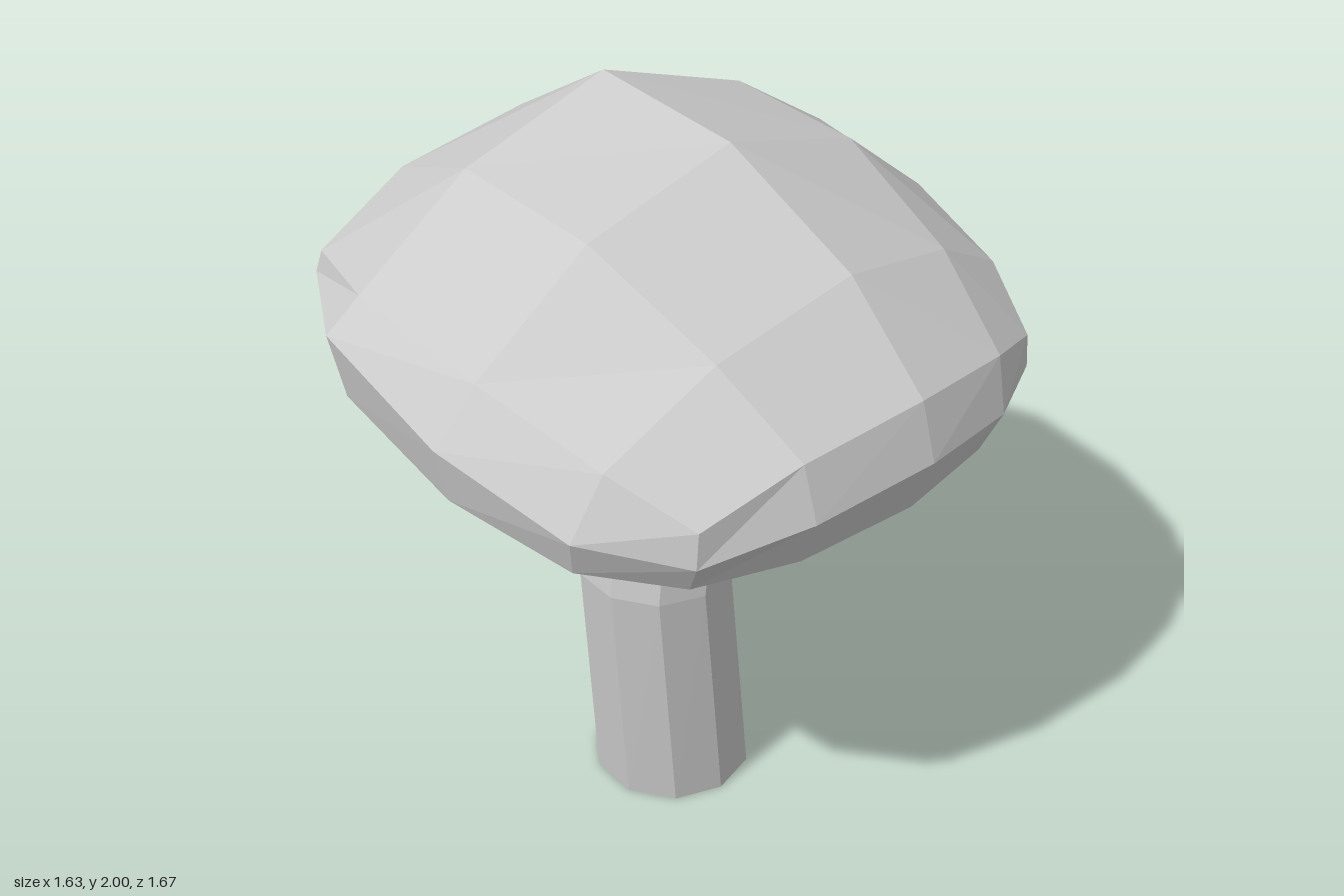
import * as THREE from 'three';

// Top of the cap: rows from back to front, points from -x to +x
const DOME = [
  [[-0.60, 1.56, -0.70], [-0.32, 1.70, -0.73], [0.06, 1.77, -0.72], [0.45, 1.72, -0.64], [0.69, 1.64, -0.54]],
  [[-0.70, 1.62, -0.35], [-0.37, 1.86, -0.35], [0.06, 2.00, -0.35], [0.47, 1.87, -0.30], [0.74, 1.69, -0.27]],
  [[-0.71, 1.62, 0.16], [-0.37, 1.86, 0.145], [0.07, 1.98, 0.135], [0.48, 1.86, 0.12], [0.75, 1.64, 0.11]],
  [[-0.64, 1.55, 0.55], [-0.30, 1.69, 0.53], [0.12, 1.77, 0.52], [0.47, 1.70, 0.48], [0.71, 1.56, 0.43]],
  [[-0.53, 1.45, 0.75], [-0.25, 1.53, 0.78], [0.12, 1.55, 0.78], [0.44, 1.52, 0.72], [0.64, 1.46, 0.63]],
];

// Widest edge, counter-clockwise from the front -x corner: x, y, z, height of the lower lip
const RIM = [
  [-0.54, 1.355, 0.755, 1.26], [-0.25, 1.39, 0.83, 1.25], [0.12, 1.40, 0.83, 1.245], [0.43, 1.375, 0.76, 1.25],
  [0.65, 1.365, 0.63, 1.275], [0.76, 1.42, 0.40, 1.30], [0.815, 1.50, 0.08, 1.34], [0.80, 1.555, -0.28, 1.41],
  [0.69, 1.535, -0.57, 1.41], [0.44, 1.57, -0.74, 1.385], [0.07, 1.575, -0.83, 1.36], [-0.31, 1.55, -0.84, 1.355],
  [-0.615, 1.50, -0.71, 1.35], [-0.79, 1.53, -0.37, 1.345], [-0.82, 1.47, 0.14, 1.31], [-0.73, 1.39, 0.54, 1.275],
];

function capGeometry() {
  const positions = DOME.flat(2);
  const index = [];
  const quad = (a, b, c, d) => index.push(a, b, c, a, c, d);
  const at = (row, col) => row * 5 + col;

  for (let r = 0; r < 4; r++) {
    for (let c = 0; c < 4; c++) quad(at(r, c), at(r + 1, c), at(r + 1, c + 1), at(r, c + 1));
  }

  // Border of the dome, in the same order as the rim
  const border = [];
  for (let i = 0; i < 4; i++) border.push(at(4, i));
  for (let i = 0; i < 4; i++) border.push(at(4 - i, 4));
  for (let i = 0; i < 4; i++) border.push(at(0, 4 - i));
  for (let i = 0; i < 4; i++) border.push(at(i, 0));

  // Rim, lower lip and centre of the underside
  const n = RIM.length, rim = 25, lip = rim + n, centre = lip + n;
  RIM.forEach(([x, y, z]) => positions.push(x, y, z));
  RIM.forEach(([x, , z, low]) => positions.push(x * 0.955, low, z * (z > 0 ? 0.93 : 0.97)));
  positions.push(0, 1.24, 0);

  for (let k = 0; k < n; k++) {
    const m = (k + 1) % n;
    quad(rim + k, rim + m, border[m], border[k]);
    quad(lip + k, lip + m, rim + m, rim + k);
    index.push(centre, lip + m, lip + k);
  }

  const geometry = new THREE.BufferGeometry();
  geometry.setAttribute('position', new THREE.Float32BufferAttribute(positions, 3));
  geometry.setIndex(index);
  geometry.computeVertexNormals();
  return geometry;
}

// Ten-sided stem, bent sideways at its middle ring
function stemGeometry() {
  const height = 1.26;
  const geometry = new THREE.CylinderGeometry(0.222, 0.225, height, 10, 2);
  geometry.translate(0, height / 2, 0);
  const p = geometry.attributes.position;
  for (let i = 0; i < p.count; i++) {
    const y = p.getY(i);
    if (y > 1) {
      p.setX(i, p.getX(i) - 0.02);
      p.setZ(i, p.getZ(i) + 0.01);
    } else if (y > 0.1) {
      p.setXYZ(i, p.getX(i) * 0.94 - 0.085, 0.75, p.getZ(i) * 0.97 + 0.03);
    }
  }
  geometry.computeVertexNormals();
  return geometry;
}

export function createModel() {
  const group = new THREE.Group();
  group.name = 'mushroom';
  const material = new THREE.MeshStandardMaterial({ color: 0xcccccc, flatShading: true });
  const add = (name, geometry) => {
    const mesh = new THREE.Mesh(geometry, material);
    mesh.name = name;
    group.add(mesh);
  };
  add('cap', capGeometry());
  add('stem', stemGeometry());
  return group;
}
